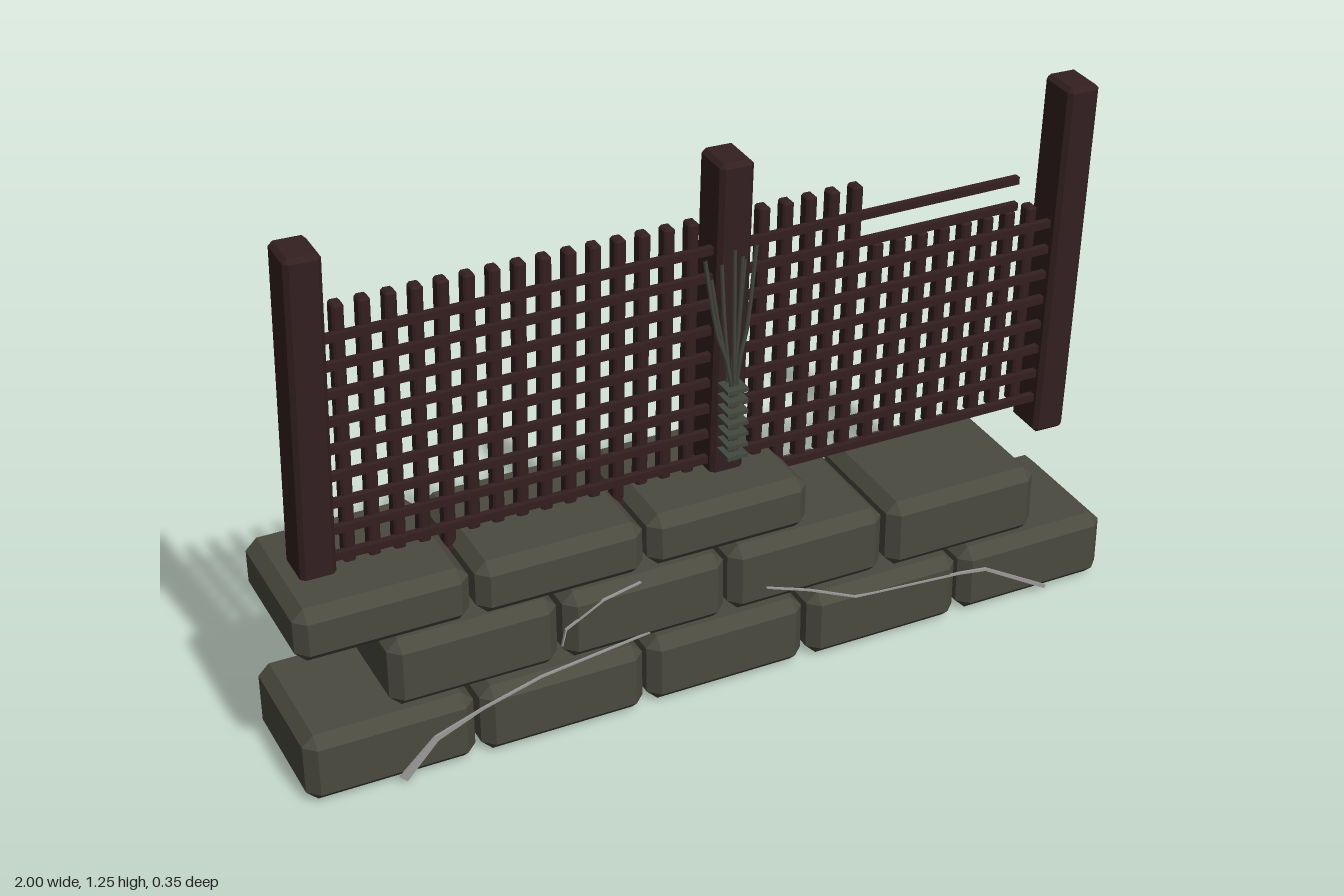
import * as THREE from 'three';
import { ConvexGeometry } from 'three/addons/geometries/ConvexGeometry.js';

const mat = (name, color, side = THREE.FrontSide) => {
  const m = new THREE.MeshStandardMaterial({ color, side });
  m.name = name;
  return m;
};

// Box with flat chamfers on every edge and corner
function chamferBox(w, h, d, c) {
  const pts = [];
  for (const sx of [-1, 1]) for (const sy of [-1, 1]) for (const sz of [-1, 1]) {
    const x = w / 2, y = h / 2, z = d / 2;
    pts.push(
      new THREE.Vector3(sx * x, sy * (y - c), sz * (z - c)),
      new THREE.Vector3(sx * (x - c), sy * y, sz * (z - c)),
      new THREE.Vector3(sx * (x - c), sy * (y - c), sz * z)
    );
  }
  return new ConvexGeometry(pts);
}

// Flat ribbon in the xy plane, points are [x, y, width]
function ribbon(points, z) {
  const left = [], right = [];
  points.forEach(([x, y, w], i) => {
    const a = points[Math.max(i - 1, 0)], b = points[Math.min(i + 1, points.length - 1)];
    const len = Math.hypot(b[0] - a[0], b[1] - a[1]);
    const nx = -(b[1] - a[1]) / len * w / 2, ny = (b[0] - a[0]) / len * w / 2;
    left.push(new THREE.Vector2(x + nx, y + ny));
    right.unshift(new THREE.Vector2(x - nx, y - ny));
  });
  const g = new THREE.ExtrudeGeometry(new THREE.Shape([...left, ...right]), { depth: 0.006, bevelEnabled: false });
  return g.translate(0, 0, z);
}

export function createModel() {
  const model = new THREE.Group();
  model.name = 'brokenFence';
  const stone = mat('stone', 0x4a4a3f);
  const wood = mat('darkWood', 0x341f20);
  const twig = mat('dryTwig', 0x43483e);
  const crackMat = mat('crack', 0x9a9a98, THREE.DoubleSide);

  const add = (parent, name, geo, material, x = 0, y = 0, z = 0) => {
    const m = new THREE.Mesh(geo, material);
    m.name = name;
    m.position.set(x, y, z);
    parent.add(m);
    return m;
  };
  const group = (name) => {
    const g = new THREE.Group();
    g.name = name;
    model.add(g);
    return g;
  };

  // Staggered stone courses: bottom, height, front, first block centre, count
  const wall = group('stoneWall');
  [[0, 0.17, 0.163, -0.805, 5], [0.185, 0.17, 0.163, -0.604, 4], [0.37, 0.13, 0.172, -0.805, 3]]
    .forEach(([y, h, front, x0, n], row) => {
      for (let i = 0; i < n; i++) {
        const f = front + (i % 2 ? 0.004 : 0), d = f + 0.175;
        add(wall, `block${row + 1}_${i + 1}`, chamferBox(0.39, h, d, 0.026), stone,
          x0 + i * 0.4025, y + h / 2, f - d / 2);
      }
    });

  // Leaning posts
  const lean = -0.024;
  const posts = group('posts');
  [['rightPost', -0.896], ['middlePost', 0.055], ['leftPost', 0.909]].forEach(([name, x]) => {
    const p = add(posts, name, chamferBox(0.08, 0.88, 0.105, 0.01), wood, x, 0.81, 0.005);
    p.rotation.set(0.013, 0, lean);
  });

  // Upright slats, cut short on one side
  const slats = group('slats');
  for (let i = -1; i < 30; i++) {
    const top = i > 21 ? 0.96 : 1.11, bottom = 0.455, h = top - bottom;
    const s = add(slats, 'slat', chamferBox(0.026, h, 0.034, 0.005), wood,
      -0.81 + i * 0.0565 - h * 0.012, bottom + h / 2, 0.008);
    s.rotation.z = lean;
  }

  // Horizontal rails, the top two broken off early
  const rails = group('rails');
  for (let i = 0; i < 10; i++) {
    const x0 = -0.87, x1 = i < 2 ? 0.78 : 0.88;
    add(rails, 'rail', new THREE.BoxGeometry(x1 - x0, 0.018, 0.016), wood,
      (x0 + x1) / 2, 1.042 - i * 0.0645, 0.028);
  }

  // Twig bundle hung on the middle post
  const bundle = group('twigBundle');
  const stick = (name, pts, r) => {
    const curve = new THREE.CatmullRomCurve3(pts.map((p) => new THREE.Vector3(...p)));
    add(bundle, name, new THREE.TubeGeometry(curve, 8, r, 5), twig);
  };
  [[-0.03, 1.06, 0.095], [-0.005, 1.0, 0.075], [0.02, 1.03, 0.074], [0.04, 1.07, 0.096],
    [0.06, 1.05, 0.094], [0.075, 1.03, 0.075], [0.092, 1.07, 0.095]].forEach(([x, y, z], i) => {
    const bx = 0.031 + i * 0.003;
    stick('twig', [[bx, 0.55, z], [bx, 0.77, z], [(bx + x) / 2, 0.87, z], [x, y, z]], 0.005);
  });
  for (let i = 0; i < 7; i++) {
    add(bundle, 'binding', new THREE.BoxGeometry(0.05, 0.009, 0.05), twig, 0.04, 0.57 + i * 0.0275, 0.093);
  }

  // Pale cracks across the wall face
  const cracks = group('cracks');
  [
    [[-0.79, 0.01, 0.022], [-0.71, 0.092, 0.014], [-0.6, 0.135, 0.005], [-0.46, 0.175, 0.004], [-0.2, 0.21, 0.003]],
    [[-0.41, 0.24, 0.003], [-0.4, 0.28, 0.004], [-0.31, 0.33, 0.004], [-0.22, 0.35, 0.003]],
    [[0.09, 0.24, 0.003], [0.2, 0.2, 0.004], [0.32, 0.145, 0.004], [0.6, 0.125, 0.005],
      [0.67, 0.115, 0.007], [0.84, 0.015, 0.009]],
  ].forEach((pts, i) => add(cracks, `crack${i + 1}`, ribbon(pts, 0.164), crackMat));

  return model;
}
